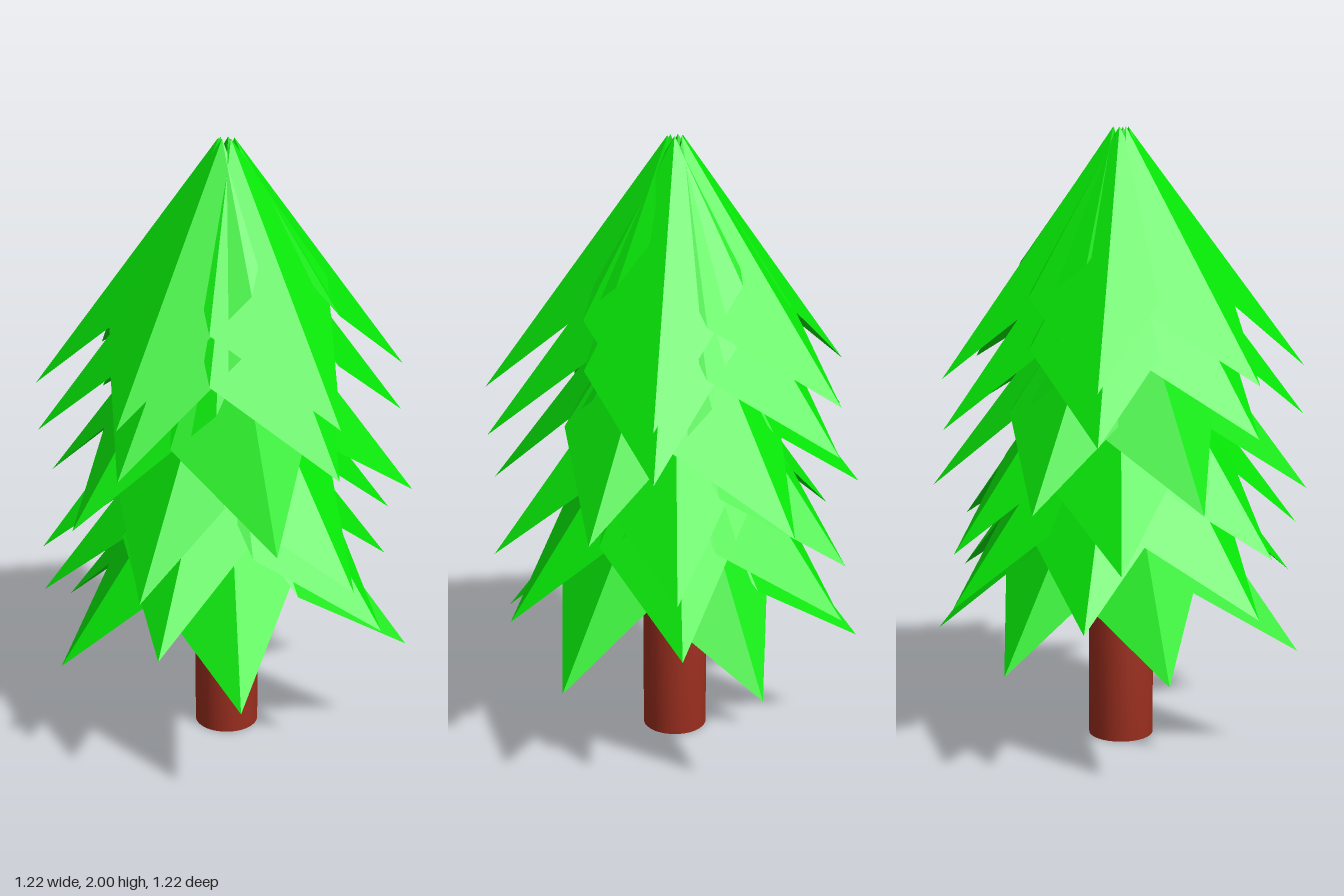
import * as THREE from 'three';
import { mergeVertices } from 'three/addons/utils/BufferGeometryUtils.js';

const DEG = Math.PI / 180;

const needleGreen = new THREE.MeshStandardMaterial({ color: 0x06e606, side: THREE.DoubleSide, flatShading: true });
needleGreen.name = 'needle green';
const barkBrown = new THREE.MeshStandardMaterial({ color: 0xa03020 });
barkBrown.name = 'bark brown';

// One bough: a closed, slanted pyramid pointing along +x, with its tip at y = 0
function boughGeometry() {
  const top = [0.025, 0.77, 0];
  const rim = [
    [0.61, 0, 0],           // tip
    [0.225, 0.35, -0.228],  // side corner
    [0.12, 0.47, -0.2],     // back corner
    [-0.03, 0.6, 0],        // inner end
    [0.12, 0.45, 0.2],      // other back corner
    [0.29, 0.25, 0.25],     // other side corner
  ];
  const positions = [];
  rim.forEach((corner, i) => {
    const next = rim[(i + 1) % rim.length];
    positions.push(...top, ...corner, ...next);                                // sloping side
    if (i > 0 && i < rim.length - 1) positions.push(...rim[0], ...next, ...corner); // underside
  });
  const geometry = new THREE.BufferGeometry();
  geometry.setAttribute('position', new THREE.Float32BufferAttribute(positions, 3));
  geometry.computeVertexNormals();
  return geometry;
}

// Cylinder whose caps share smooth normals with the side
function trunkGeometry() {
  const geometry = new THREE.CylinderGeometry(0.107, 0.107, 0.69, 32);
  geometry.deleteAttribute('normal');
  geometry.deleteAttribute('uv');
  const smooth = mergeVertices(geometry);
  smooth.computeVertexNormals();
  return smooth;
}

export function createModel() {
  const tree = new THREE.Group();
  tree.name = 'pineTree';

  // Trunk
  const trunk = new THREE.Mesh(trunkGeometry(), barkBrown);
  trunk.name = 'trunk';
  trunk.position.set(-0.002, 0.345, 0);
  tree.add(trunk);

  // Tiers of six unevenly spaced boughs, each tier turned by its own angle
  const boughAngles = [-94, -33, 40, 105, 159, 208];
  const tiers = [[1.23, 0], [1.07, 0], [0.86, 19], [0.69, -6.5], [0.51, 53], [0.35, 29]];
  const geometry = boughGeometry();
  tiers.forEach(([height, turn], i) => {
    const tier = new THREE.Group();
    tier.name = `tier${i + 1}`;
    tier.position.set(-0.003, height, -0.002);
    for (const angle of boughAngles) {
      const bough = new THREE.Mesh(geometry, needleGreen);
      bough.name = 'bough';
      bough.rotation.y = -(angle + turn) * DEG;
      tier.add(bough);
    }
    tree.add(tier);
  });

  return tree;
}
